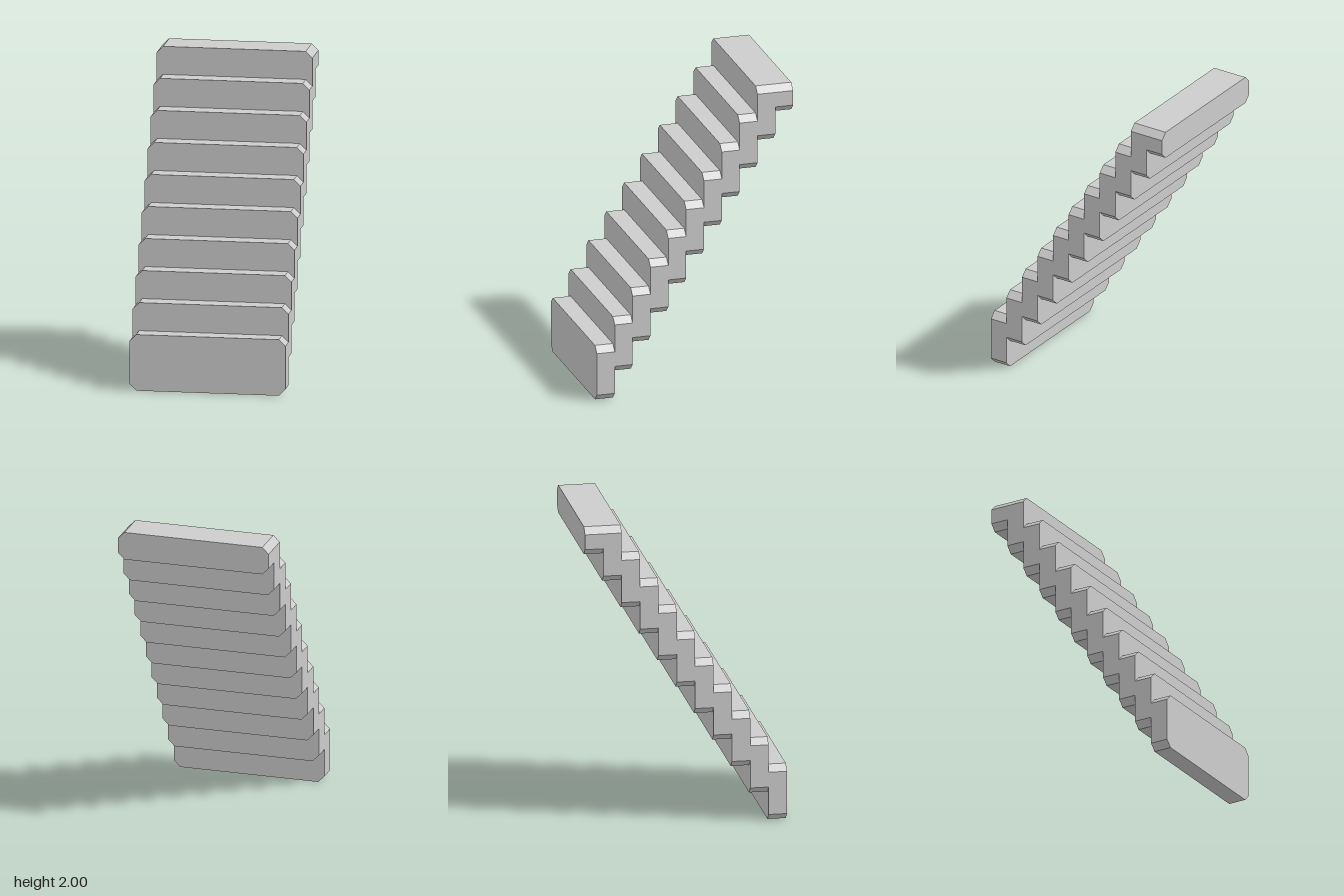
import * as THREE from 'three';

const WIDTH = 1, CHAMFER = 0.042;
const COUNT = 11;                 // slabs from front to back
const RISE = 2 / COUNT;           // climb per slab
const DEPTH = 1.3 / COUNT;        // depth per slab

// Upright rectangle with its four corners cut off
function chamferedShape(w, h, c) {
  const x = w / 2;
  return new THREE.Shape([
    [-x + c, 0], [x - c, 0], [x, c], [x, h - c],
    [x - c, h], [-x + c, h], [-x, h - c], [-x, c],
  ].map(([px, py]) => new THREE.Vector2(px, py)));
}

export function createModel() {
  const stairs = new THREE.Group();
  stairs.name = 'stairs';
  const stone = new THREE.MeshStandardMaterial({ color: 0xcccccc });
  stone.name = 'light grey';

  // Each slab is two rises tall; the last is a single rise that widens the landing
  for (let i = 0; i < COUNT; i++) {
    const last = i === COUNT - 1;
    const shape = chamferedShape(WIDTH, last ? RISE : RISE * 2, CHAMFER);
    const geometry = new THREE.ExtrudeGeometry(shape, { depth: DEPTH, bevelEnabled: false });
    const slab = new THREE.Mesh(geometry, stone);
    slab.name = last ? 'landingBack' : `step${i + 1}`;
    slab.position.set(0, i * RISE, 0.65 - (i + 1) * DEPTH);
    stairs.add(slab);
  }
  return stairs;
}
